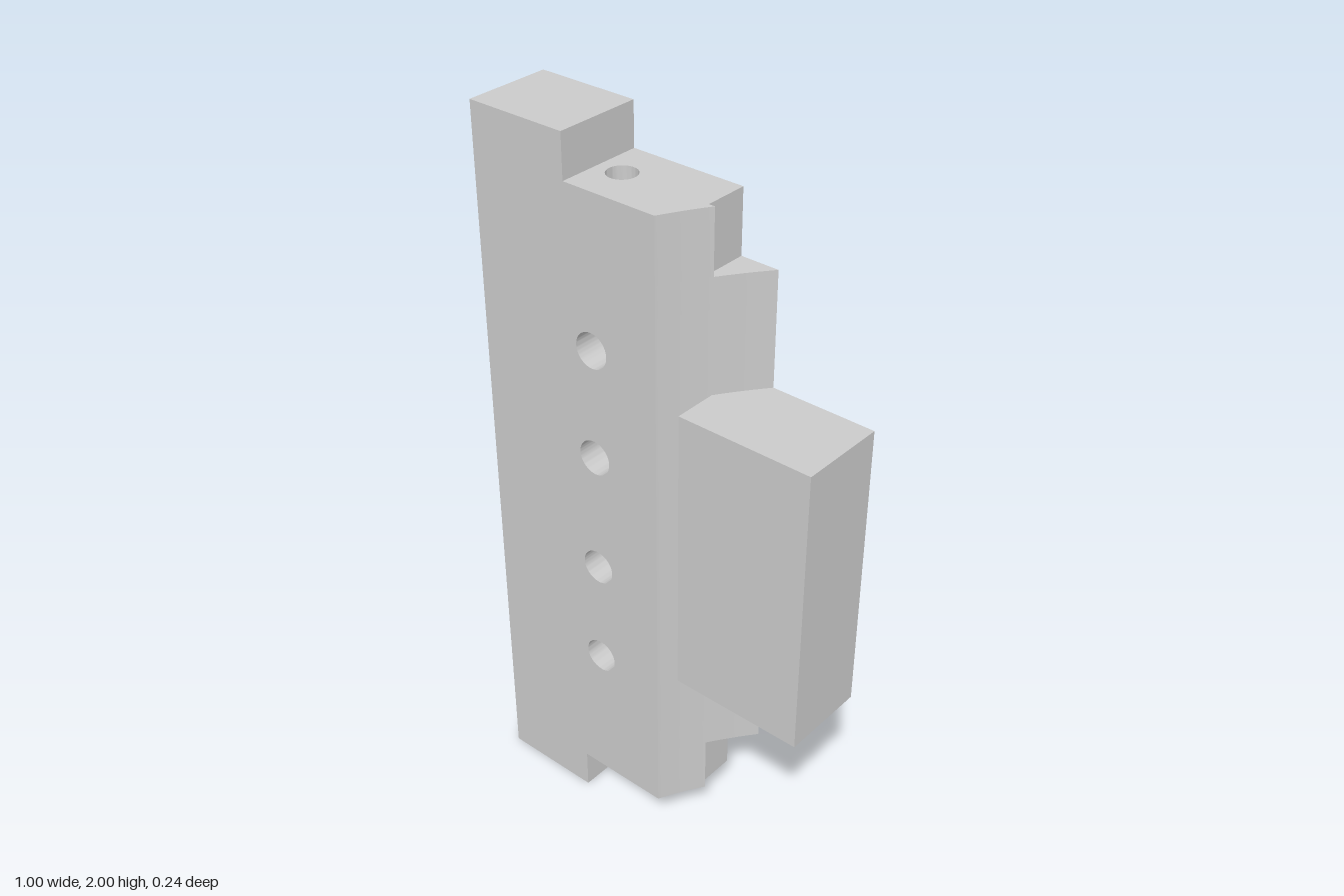
import * as THREE from 'three';
import { toCreasedNormals } from 'three/addons/utils/BufferGeometryUtils.js';

const D = 0.12;                 // half thickness
const DRILL_X = -0.145;         // line of all drilled holes
const SEAT_X = -0.05;           // where the drilled core meets the sloping edge
const material = new THREE.MeshStandardMaterial({ color: 0xcccccc });

function mesh(name, geometry) {
  const m = new THREE.Mesh(toCreasedNormals(geometry, 0.5), material);
  m.name = name;
  return m;
}

function circle(x, y, r) {
  return new THREE.Path().absarc(x, y, r, 0, Math.PI * 2, true);
}

function extrude(points, holes, depth) {
  const shape = new THREE.Shape(points);
  shape.holes.push(...holes);
  return new THREE.ExtrudeGeometry(shape, { depth, bevelEnabled: false, curveSegments: 32 });
}

// Upright prism from a plan outline (x, -z) between two heights
function prism(name, points, y0, y1, holes = []) {
  const g = extrude(points, holes, y1 - y0);
  g.rotateX(-Math.PI / 2);
  g.translate(0, y0, 0);
  return mesh(name, g);
}

export function createModel() {
  const group = new THREE.Group();
  const v = (x, y) => new THREE.Vector2(x, y);

  // Hollow slope of the edge in plan, front to back
  const slope = new THREE.QuadraticBezierCurve(v(0.055, -D), v(0.114, 0), v(0.213, D)).getPoints(24);
  const frontHalf = slope.slice(0, 13);
  const backHalf = slope.slice(12);
  const mid = slope[12];

  // Tall rail
  const rail = new THREE.BoxGeometry(0.285, 2, 2 * D);
  rail.translate(-0.3575, 1, 0);
  group.add(mesh('rail', rail));

  // Core with four cross holes
  const [lo, hi] = [0.37, 1.63];
  const core = extrude(
    [v(-0.215, lo), v(SEAT_X, lo), v(SEAT_X, hi), v(-0.215, hi)],
    [0.53, 0.832, 1.172, 1.475].map((y) => circle(DRILL_X, y, 0.048)),
    2 * D
  );
  core.translate(0, 0, -D);
  group.add(mesh('drilledCore', core));

  // Sloping edge beside the core
  group.add(prism('slopingEdge', [v(SEAT_X, -D), ...slope, v(SEAT_X, D)], lo, hi));

  // Both ends: drilled collar, then a step with its rear corner notched
  const collar = [v(-0.215, -D), ...slope, v(-0.215, D)];
  const step = [v(-0.215, -D), ...frontHalf, v(0.107, mid.y), v(0.107, D), v(-0.215, D)];
  const bore = () => [circle(DRILL_X, 0, 0.039)];
  for (const [end, y] of [['upper', (h) => h], ['lower', (h) => 2 - h]]) {
    const add = (part, outline, a, b) =>
      group.add(prism(end + part, outline, Math.min(y(a), y(b)), Math.max(y(a), y(b)), bore()));
    add('Collar', collar, hi, 1.713);
    add('NotchedStep', step, 1.713, 1.883);
  }

  // Side block seated against the slope
  group.add(prism('sideBlock', [v(0.5, D), ...backHalf.slice().reverse(), v(mid.x, -D), v(0.5, -D)], 0.597, 1.405));

  return group;
}
